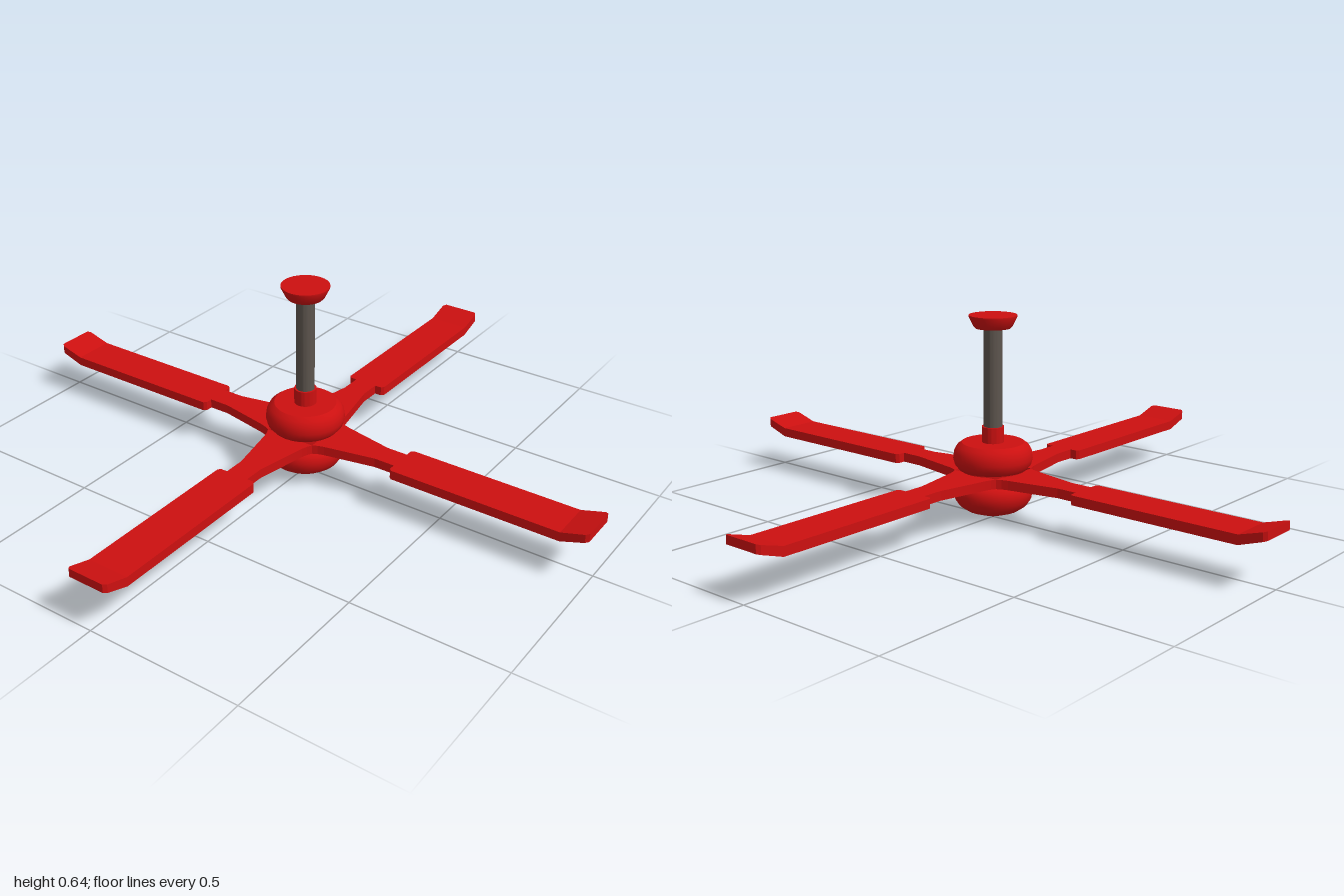
import * as THREE from 'three';
import { toCreasedNormals } from 'three/addons/utils/BufferGeometryUtils.js';

const red = new THREE.MeshStandardMaterial({ color: 0xcc1010 });
const rodGrey = new THREE.MeshStandardMaterial({ color: 0x5c544d });

// Turned part from a [radius, y] profile running bottom to top
function turned(name, profile, material = red) {
  const points = profile.map(([r, y]) => new THREE.Vector2(r, y));
  const mesh = new THREE.Mesh(toCreasedNormals(new THREE.LatheGeometry(points, 40), 0.6), material);
  mesh.name = name;
  return mesh;
}

// Blade lofted along +x through rectangular stations [x, halfWidth, bottom, top]
function bladeGeometry(stations) {
  const corners = stations.map(([x, w, y0, y1]) => [[x, y0, -w], [x, y0, w], [x, y1, w], [x, y1, -w]]);
  const positions = [];
  const quad = (a, b, c, d) => positions.push(...a, ...b, ...c, ...a, ...c, ...d);
  for (let s = 0; s < corners.length - 1; s++) {
    for (let k = 0; k < 4; k++) {
      const n = (k + 1) % 4;
      quad(corners[s][k], corners[s + 1][k], corners[s + 1][n], corners[s][n]);
    }
  }
  const [a, b, c, d] = corners[0];
  quad(a, b, c, d);
  const [e, f, g, h] = corners[corners.length - 1];
  quad(h, g, f, e);
  const geometry = new THREE.BufferGeometry();
  geometry.setAttribute('position', new THREE.Float32BufferAttribute(positions, 3));
  geometry.computeVertexNormals();
  return geometry;
}

export function createModel() {
  const fan = new THREE.Group();
  fan.name = 'ceilingFan';

  // Ceiling mount, down rod and collar
  fan.add(turned('canopy', [[0, 0.605], [0.055, 0.605], [0.06, 0.61], [0.075, 0.64], [0.075, 0.645], [0, 0.645]]));
  fan.add(turned('downRod', [[0, 0.24], [0.029, 0.24], [0.029, 0.61], [0, 0.61]], rodGrey));
  fan.add(turned('collar', [[0, 0.235], [0.035, 0.235], [0.035, 0.295], [0, 0.295]]));

  // Motor housing halves with the hub between them
  fan.add(turned('upperHousing', [
    [0, 0.153], [0.085, 0.153], [0.107, 0.16], [0.12, 0.175], [0.125, 0.195],
    [0.122, 0.217], [0.113, 0.234], [0.098, 0.245], [0, 0.245],
  ]));
  fan.add(turned('hub', [[0, 0.12], [0.1, 0.12], [0.1, 0.158], [0, 0.158]]));
  fan.add(turned('lowerHousing', [
    [0, 0], [0.04, 0.013], [0.085, 0.029], [0.108, 0.045], [0.121, 0.065],
    [0.125, 0.088], [0.12, 0.108], [0.108, 0.12], [0.085, 0.127], [0, 0.127],
  ]));

  // Four blades with flared arms, narrow necks and upturned tips
  const y0 = 0.125, y1 = 0.155;
  const geometry = bladeGeometry([
    [0.085, 0.085, y0, y1], [0.1, 0.077, y0, y1], [0.12, 0.071, y0, y1],
    [0.285, 0.038, y0, y1], [0.353, 0.038, y0, y1], [0.3535, 0.06, y0, y1],
    [0.362, 0.068, y0, y1], [0.915, 0.068, y0, y1],
    [0.99, 0.068, 0.15, 0.177], [1, 0.06, 0.153, 0.18],
  ]);
  for (let i = 0; i < 4; i++) {
    const blade = new THREE.Mesh(geometry, red);
    blade.name = 'blade' + (i + 1);
    blade.rotation.y = i * Math.PI / 2;
    fan.add(blade);
  }
  return fan;
}
